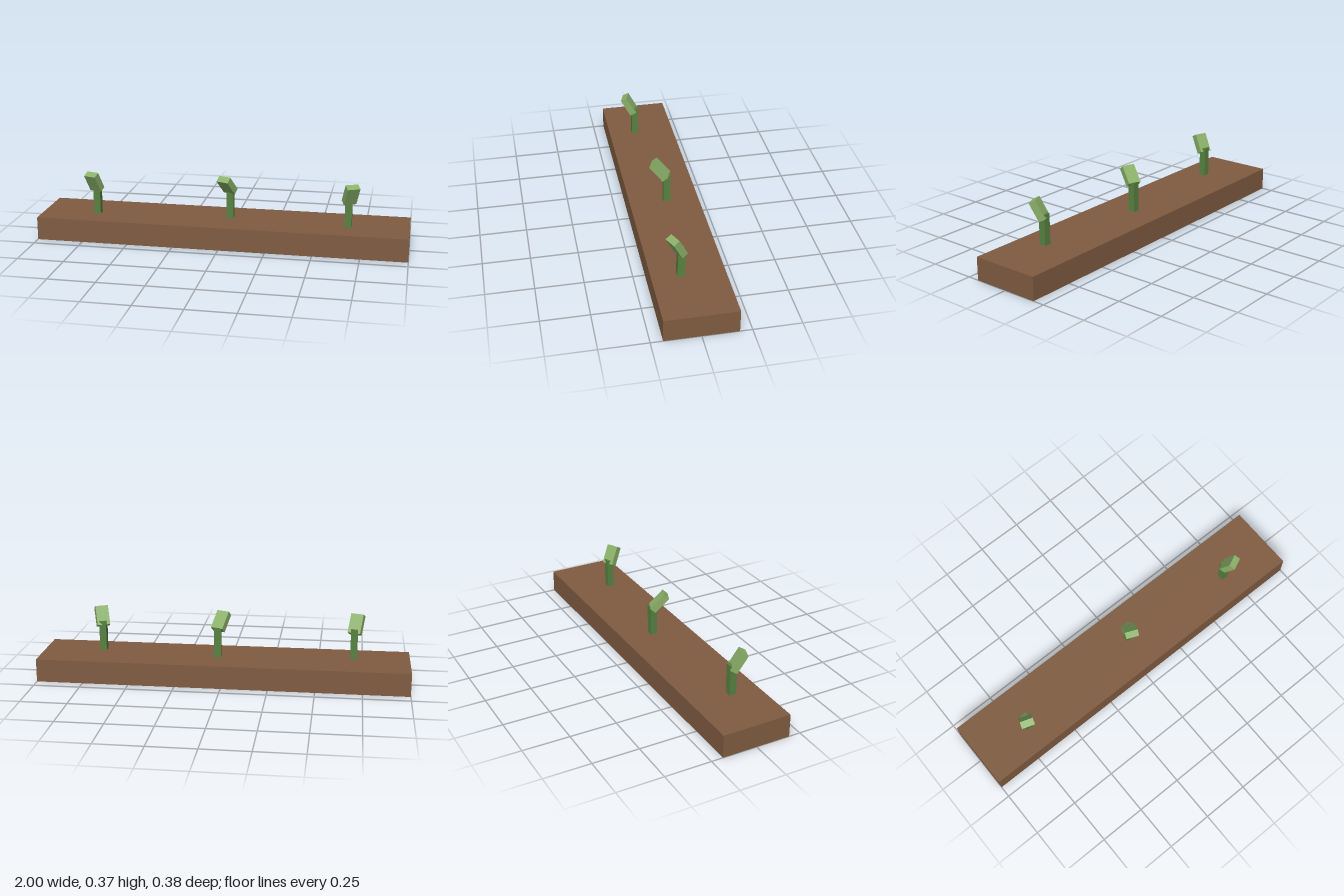
import * as THREE from 'three';

const material = (name, color, extra = {}) => {
  const m = new THREE.MeshStandardMaterial({ color, ...extra });
  m.name = name;
  return m;
};

export function createModel() {
  const model = new THREE.Group();
  model.name = 'planter';
  const soil = material('brown', 0x805c41, { side: THREE.DoubleSide });
  const stemGreen = material('stem green', 0x588241);
  const leafGreen = material('leaf green', 0x8ab068);

  // Thin-walled soil bed, open underneath (bottom face dropped)
  const bedShape = new THREE.BoxGeometry(2, 0.125, 0.375);
  const index = Array.from(bedShape.index.array);
  index.splice(18, 6);
  bedShape.setIndex(index);
  bedShape.clearGroups();
  const bed = new THREE.Mesh(bedShape, soil);
  bed.name = 'soilBed';
  bed.position.y = 0.0625;
  model.add(bed);

  // Sprouts: upright stem with a block leaf leaning forward, turned by yaw
  const stemShape = new THREE.BoxGeometry(0.0375, 0.165, 0.0375);
  const leafShape = new THREE.BoxGeometry(0.07, 0.108, 0.0375);
  const sprouts = [
    { x: -0.698, z: 0.038, yaw: -18, pitch: 30, leafY: 0.309, reach: 0.029 },
    { x: 0.034, z: -0.014, yaw: -22, pitch: 43, leafY: 0.315, reach: 0.036 },
    { x: 0.676, z: 0.038, yaw: 25, pitch: 28, leafY: 0.31, reach: 0.025 },
  ];
  for (const s of sprouts) {
    const sprout = new THREE.Group();
    sprout.name = 'sprout';
    sprout.position.set(s.x, 0, s.z);

    const stem = new THREE.Mesh(stemShape, stemGreen);
    stem.name = 'stem';
    stem.position.y = 0.125 + 0.0825;

    const yaw = THREE.MathUtils.degToRad(s.yaw);
    const leaf = new THREE.Mesh(leafShape, leafGreen);
    leaf.name = 'leaf';
    leaf.position.set(s.reach * Math.sin(yaw), s.leafY, s.reach * Math.cos(yaw));
    leaf.rotation.set(THREE.MathUtils.degToRad(s.pitch), yaw, 0, 'YXZ');

    sprout.add(stem, leaf);
    model.add(sprout);
  }
  return model;
}
